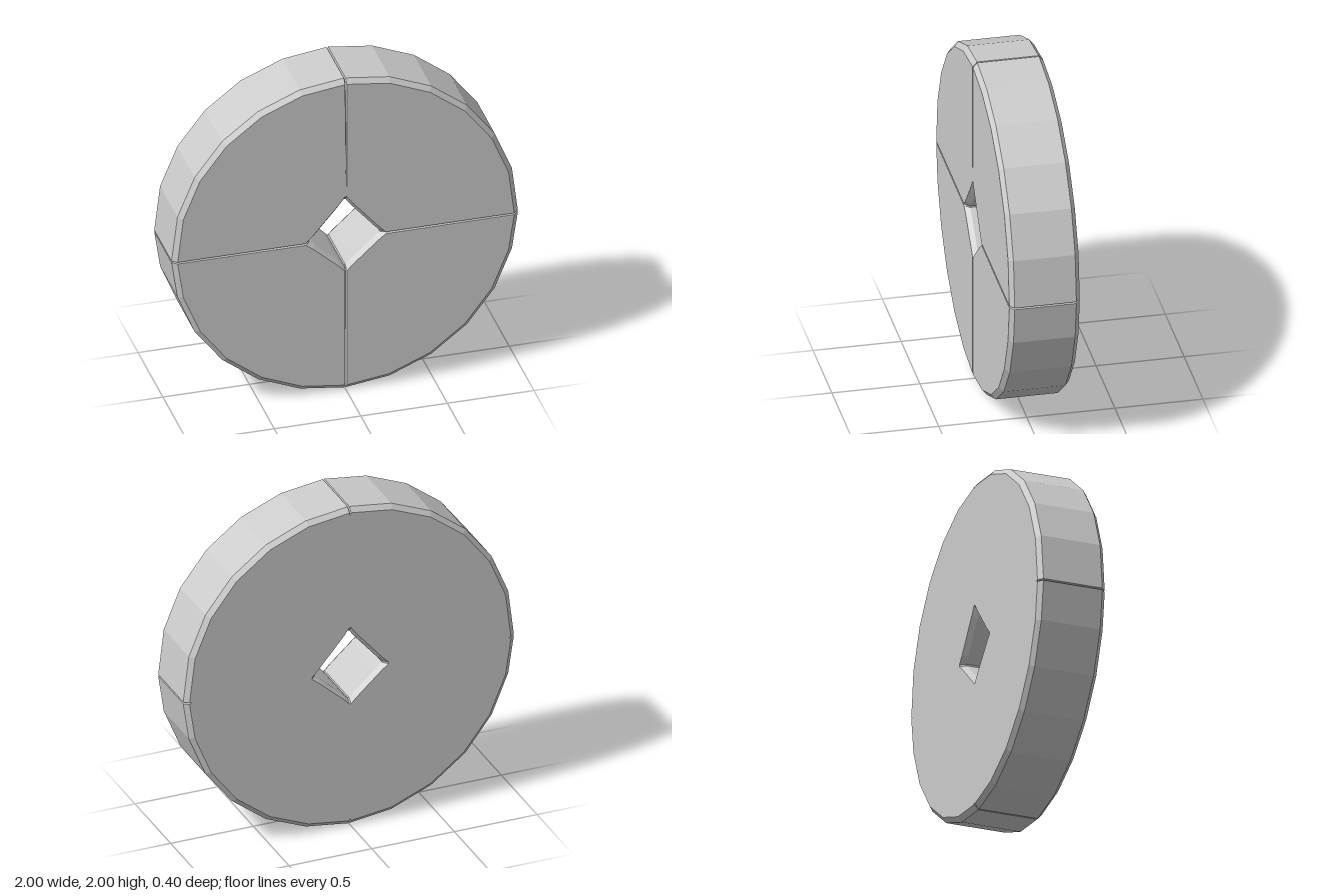
import * as THREE from 'three';

const SIDES = 24;
const HALF = 0.2;       // half thickness
const CY = 1;           // rim centre height
const SEAM_Y = 0.975;   // height of the side seams and hole corners
const SEAM_W = 0.005;   // half width of a seam

// Spokes of the wheel: a hole point and a rim point, three per seam
function makeSpokes() {
  const corners = [[0.205, SEAM_Y], [0, 1.215], [-0.205, SEAM_Y], [0, 0.79]]
    .map(([x, y]) => new THREE.Vector2(x, y));
  const spokes = [];
  for (let i = 0; i < SIDES; i++) {
    const a = (i / SIDES) * Math.PI * 2;
    const q = i / 6 | 0;
    const hole = corners[q].clone().lerp(corners[(q + 1) % 4], (i % 6) / 6);
    const rim = new THREE.Vector2(Math.cos(a), CY + Math.sin(a));
    if (i % 6) {
      spokes.push({ hole, rim, cut: 0, faceCut: 0 });
      continue;
    }
    if (i % 12 === 0) rim.y = SEAM_Y;
    const t = new THREE.Vector2(-Math.sin(a), Math.cos(a));
    for (const s of [-1, 0, 1]) {
      spokes.push({
        hole: hole.clone().addScaledVector(t, s * SEAM_W),
        rim: rim.clone().addScaledVector(t, s * SEAM_W),
        cut: s ? 0 : 0.015,
        faceCut: s || q === 1 ? 0 : 0.012, // the top seam only marks the rim
      });
    }
  }
  return spokes;
}

// Closed cross-section of one spoke, from the hole over the front to the back
function section({ hole, rim, cut, faceCut }) {
  const at = (p, cy, scale, z) => new THREE.Vector3(p.x * scale, cy + (p.y - cy) * scale, z);
  const h = (scale, z) => at(hole, SEAM_Y, scale, z);
  const r = (scale, z) => at(rim, CY, scale - cut, z);
  return [
    h(1, HALF - 0.03),
    h(1.13, HALF - faceCut),
    r(0.972, HALF - Math.max(faceCut, cut)),
    r(1, HALF - 0.025),
    r(1, -HALF + 0.025),
    r(0.972, -HALF),
    h(1.13, -HALF),
    h(1, -HALF + 0.03),
  ];
}

function wheelGeometry() {
  const rings = makeSpokes().map(section);
  const n = rings[0].length;
  const pos = [];
  const tri = (...pts) => pts.forEach((p) => pos.push(p.x, p.y, p.z));
  rings.forEach((ring, i) => {
    const next = rings[(i + 1) % rings.length];
    for (let j = 0; j < n; j++) {
      const k = (j + 1) % n;
      tri(ring[j], ring[k], next[k]);
      tri(ring[j], next[k], next[j]);
    }
  });
  const geo = new THREE.BufferGeometry();
  geo.setAttribute('position', new THREE.Float32BufferAttribute(pos, 3));
  geo.computeVertexNormals();
  return geo;
}

export function createModel() {
  const group = new THREE.Group();
  group.name = 'stoneWheel';
  const material = new THREE.MeshStandardMaterial({ color: 0xcccccc, flatShading: true });
  const wheel = new THREE.Mesh(wheelGeometry(), material);
  wheel.name = 'wheelDisc';
  group.add(wheel);
  return group;
}
